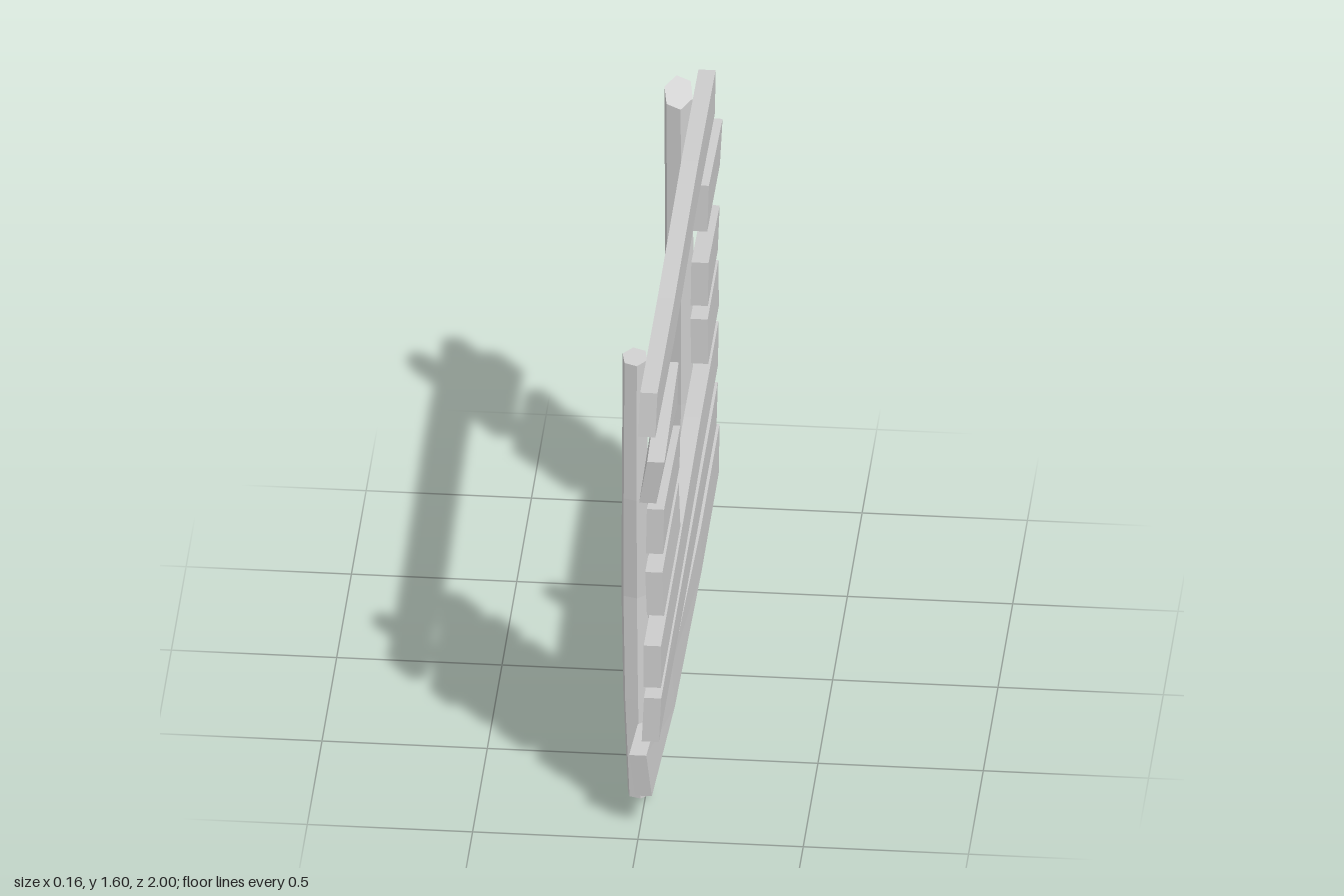
import * as THREE from 'three';

const material = new THREE.MeshStandardMaterial({ color: 0xcccccc, flatShading: true });

// Joins equal-sized rings of points (anticlockwise seen from the last ring) into a closed solid.
function loft(name, rings) {
  const n = rings[0].length, index = [];
  for (let r = 0; r < rings.length - 1; r++) {
    for (let i = 0; i < n; i++) {
      const a = r * n + i, b = r * n + (i + 1) % n;
      index.push(a, b, b + n, a, b + n, a + n);
    }
  }
  const last = (rings.length - 1) * n;
  for (let i = 1; i < n - 1; i++) {
    index.push(0, i + 1, i, last, last + i, last + i + 1);
  }
  let geometry = new THREE.BufferGeometry();
  geometry.setAttribute('position', new THREE.Float32BufferAttribute(rings.flat(2), 3));
  geometry.setIndex(index);
  geometry = geometry.toNonIndexed();
  geometry.computeVertexNormals();
  const mesh = new THREE.Mesh(geometry, material);
  mesh.name = name;
  return mesh;
}

// Plank running from +z to -z; stations are [zTop, zBottom, yTop, yBottom, xTop, xBottom].
function plank(name, stations) {
  const t = 0.026;
  return loft(name, stations.map(([zt, zb, yt, yb, xt, xb]) => [
    [xb + t, yb, zb], [xb - t, yb, zb], [xt - t, yt, zt], [xt + t, yt, zt],
  ]));
}

// Six-sided post; stations are [x, y, z, radius, slopeX, slopeZ], the slopes slanting the cut.
function post(name, stations, turn) {
  return loft(name, stations.map(([x, y, z, radius, slopeX = 0, slopeZ = 0]) =>
    Array.from({ length: 6 }, (_, i) => {
      const a = turn - i * Math.PI / 3;
      const dx = radius * Math.cos(a), dz = radius * Math.sin(a);
      return [x + dx, y + slopeX * dx + slopeZ * dz, z + dz];
    })));
}

export function createModel() {
  const model = new THREE.Group();
  model.name = 'woodenFence';

  // Long planks above and below the opening
  model.add(
    plank('topPlank', [
      [0.965, 0.98, 1.545, 1.4, 0.03, 0.025],
      [0.4, 0.4, 1.547, 1.395, 0.032, 0.03],
      [-0.4, -0.4, 1.562, 1.415, 0.033, 0.03],
      [-0.955, -0.955, 1.555, 1.405, 0.035, 0.033],
    ]),
    plank('upperRail', [
      [0.96, 0.96, 0.66, 0.515, 0.04, 0.04],
      [0.4, 0.4, 0.65, 0.505, 0.04, 0.04],
      [-0.4, -0.4, 0.667, 0.52, 0.04, 0.04],
      [-0.975, -0.96, 0.668, 0.525, 0.042, 0.042],
    ]),
    plank('middleRail', [
      [0.95, 0.95, 0.472, 0.32, 0.04, 0.033],
      [0, 0, 0.465, 0.315, 0.04, 0.035],
      [-0.975, -0.975, 0.455, 0.305, 0.04, 0.036],
    ]),
    plank('bottomRail', [
      [0.95, 0.93, 0.27, 0.118, -0.005, 0.01],
      [0.4, 0.4, 0.275, 0.122, 0.025, 0.032],
      [-0.4, -0.4, 0.28, 0.13, 0.04, 0.042],
      [-1, -0.975, 0.295, 0.14, 0.043, 0.043],
    ]),
  );

  // Short planks on either side of the opening
  const shortPlanks = [
    [[1, 0.98, 1.325, 1.17, 0.054, 0.028], [0.425, 0.425, 1.34, 1.185, 0.046, 0.042]],
    [[0.965, 0.965, 1.14, 0.985, 0.05, 0.047], [0.41, 0.405, 1.11, 0.965, 0.05, 0.047]],
    [[0.965, 0.965, 0.92, 0.77, 0.045, 0.05], [0.41, 0.41, 0.91, 0.76, 0.045, 0.05]],
    [[-0.615, -0.615, 1.35, 1.19, 0.045, 0.04], [-1, -1, 1.36, 1.2, 0.052, 0.044]],
    [[-0.59, -0.59, 1.095, 0.945, 0.046, 0.044], [-0.97, -0.95, 1.075, 0.93, 0.046, 0.042]],
    [[-0.595, -0.595, 0.895, 0.74, 0.043, 0.045], [-0.96, -0.955, 0.89, 0.735, 0.043, 0.045]],
  ];
  shortPlanks.forEach((stations, i) => {
    model.add(plank((i < 3 ? 'frontShortPlank' : 'rearShortPlank') + (i % 3 + 1), stations));
  });

  // Slightly crooked posts behind the planks
  model.add(
    post('frontPost', [
      [-0.02, 0.016, 0.738, 0.036],
      [-0.03, 0.35, 0.722, 0.042],
      [-0.035, 0.7, 0.707, 0.044],
      [-0.034, 1.05, 0.725, 0.042],
      [-0.033, 1.53, 0.728, 0.04, 0, -0.25],
    ], 0.3),
    post('rearPost', [
      [-0.04, 0.055, -0.782, 0.042, 0, -0.5],
      [-0.036, 0.5, -0.797, 0.046],
      [-0.034, 1.0, -0.785, 0.046],
      [-0.036, 1.57, -0.787, 0.046, 0, -0.75],
    ], 0.3),
    post('middlePost', [
      [-0.03, 0.033, -0.06, 0.043, 0.6, -0.2],
      [-0.03, 0.35, -0.06, 0.043],
      [-0.03, 0.635, -0.063, 0.041, -0.2, 0.1],
    ], 0.5),
  );
  return model;
}
